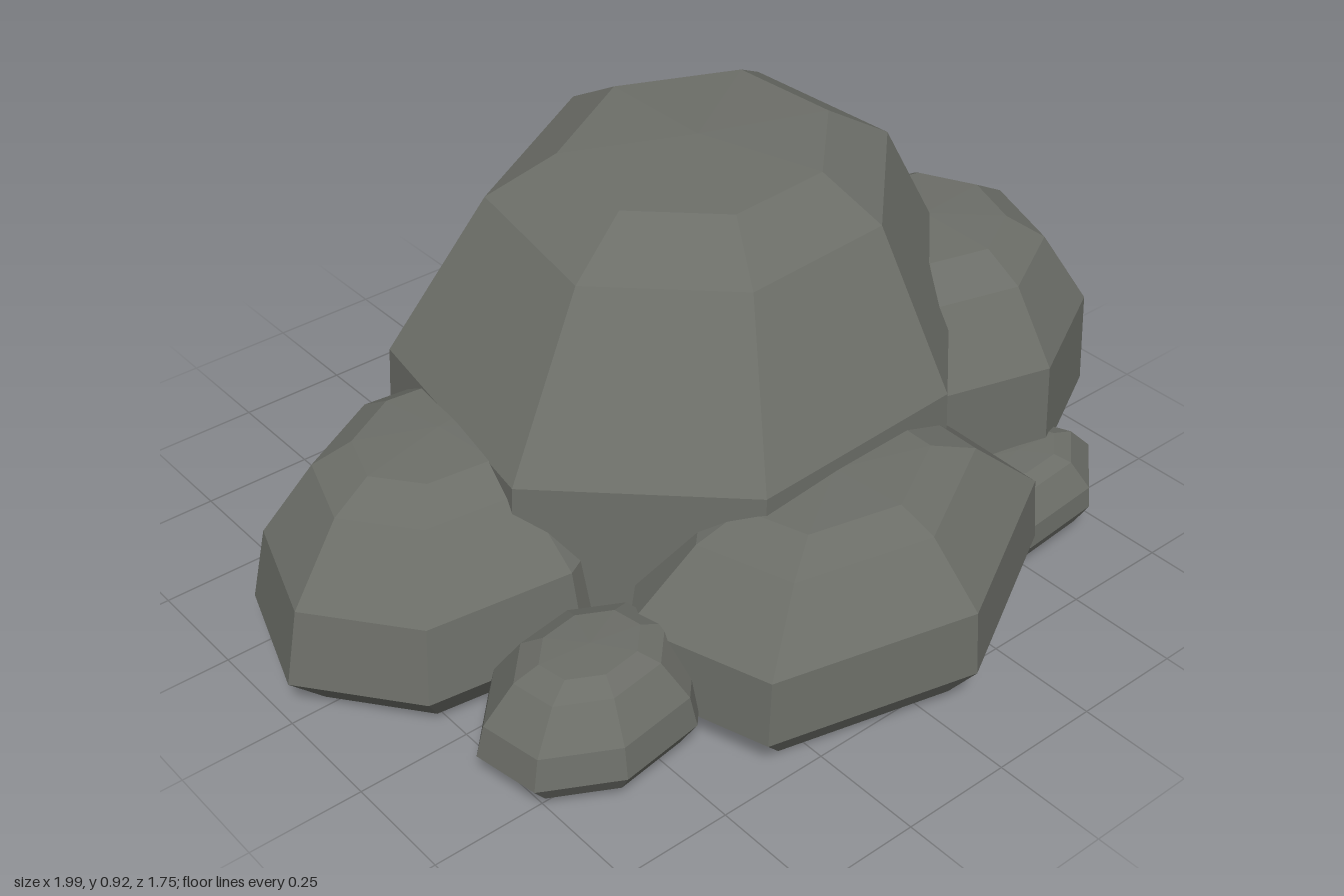
import * as THREE from 'three';

const stone = new THREE.MeshStandardMaterial({ color: 0x6b6d67 });
stone.name = 'grey stone';
stone.flatShading = true;

// Faceted boulder: an oval of a few sides, stacked in five rings and closed by two fans.
// turn: angle of the first corner in degrees; spread: widens the gaps beside that corner
// low, wide: heights of the two widest rings as a share of the top
// foot, waist, shoulder: relative widths of the bottom, wide and upper rings
// tiltX, tiltZ: slope of the rings; leanX, leanZ: sideways shift of the topmost ring
function boulder(name, {
  sides = 7, x, z, rx, rz, turn, spread = 0, base = 0.04, top, low = 0.28, wide = 0.61,
  foot = 0.83, waist = 0.97, shoulder = 0.7, tiltX = 0, tiltZ = 0, leanX = 0, leanZ = 0,
}) {
  const rings = [
    { y: base, scale: foot },
    { y: top * low, scale: 1 },
    { y: top * wide, scale: waist },
    { y: top * 0.9, scale: shoulder },
    { y: top * 0.985, scale: shoulder * 0.67 },
  ];
  const positions = [], index = [];

  for (const { y, scale } of rings) {
    const rise = Math.max(0, y / top - wide) / (1 - wide);
    for (let i = 0; i < sides; i++) {
      const step = -i / sides * Math.PI * 2;
      const angle = THREE.MathUtils.degToRad(turn + spread * Math.sin(step)) + step;
      const dx = Math.cos(angle) * rx * scale;
      const dz = Math.sin(angle) * rz * scale;
      const height = Math.max(0, y + dx * tiltX + dz * tiltZ);
      positions.push(x + dx + leanX * rise, height, z + dz + leanZ * rise);
    }
  }
  // Centres of the underside and the cap
  const bottomCentre = rings.length * sides;
  const lastRing = bottomCentre - sides;
  positions.push(x, base, z, x + leanX, top, z + leanZ);

  for (let i = 0; i < sides; i++) {
    const j = (i + 1) % sides;
    for (let row = 0; row < lastRing; row += sides) {
      const a = row + i, b = row + j;
      index.push(a, b, b + sides, a, b + sides, a + sides);
    }
    index.push(bottomCentre, j, i);
    index.push(bottomCentre + 1, lastRing + i, lastRing + j);
  }

  const indexed = new THREE.BufferGeometry();
  indexed.setAttribute('position', new THREE.Float32BufferAttribute(positions, 3));
  indexed.setIndex(index);
  const geometry = indexed.toNonIndexed();
  geometry.computeVertexNormals();
  const mesh = new THREE.Mesh(geometry, stone);
  mesh.name = name;
  return mesh;
}

export function createModel() {
  const group = new THREE.Group();
  group.name = 'boulderPile';
  group.add(
    // Tall centre stone
    boulder('mainBoulder', {
      x: 0.06, z: -0.04, rx: 0.665, rz: 0.61, turn: -90, spread: 7, base: 0.035, top: 0.91,
      low: 0.14, wide: 0.56, foot: 0.88, shoulder: 0.68,
      tiltX: 0.06, tiltZ: -0.06, leanX: 0.08, leanZ: -0.05,
    }),
    // Medium stones leaning against it on each side
    boulder('rightSideBoulder', {
      sides: 8, x: -0.55, z: -0.055, rx: 0.45, rz: 0.36, turn: 172, top: 0.48, wide: 0.62,
      foot: 0.81, waist: 0.92, shoulder: 0.63, tiltX: 0.08, tiltZ: -0.03, leanZ: -0.03,
    }),
    boulder('frontBoulder', {
      x: 0, z: 0.5, rx: 0.49, rz: 0.375, turn: 84, spread: 7, top: 0.445, shoulder: 0.66,
      tiltX: 0.08,
    }),
    boulder('leftSideBoulder', {
      sides: 8, x: 0.62, z: 0.12, rx: 0.38, rz: 0.385, turn: -4, base: 0.035, top: 0.635,
      low: 0.31, wide: 0.65, foot: 0.78, tiltX: 0.06, tiltZ: -0.03,
    }),
    boulder('backBoulder', {
      x: 0.2, z: -0.48, rx: 0.475, rz: 0.4, turn: -93, base: 0.05, top: 0.48,
      foot: 0.79, shoulder: 0.73, tiltX: 0.02, tiltZ: -0.08,
    }),
    // Small stones in the gaps
    boulder('smallBackBoulder', {
      x: 0.655, z: -0.4, rx: 0.25, rz: 0.225, turn: 16, top: 0.29, low: 0.38,
      tiltX: 0.03, tiltZ: -0.05,
    }),
    boulder('smallRightBoulder', {
      sides: 8, x: -0.575, z: 0.435, rx: 0.25, rz: 0.2, turn: 105, top: 0.265, low: 0.35,
      waist: 0.93, shoulder: 0.66, tiltX: 0.06,
    }),
    boulder('smallLeftBoulder', {
      x: 0.57, z: 0.49, rx: 0.22, rz: 0.15, turn: 11, top: 0.22, low: 0.38, tiltX: 0.09,
    }),
  );
  return group;
}
